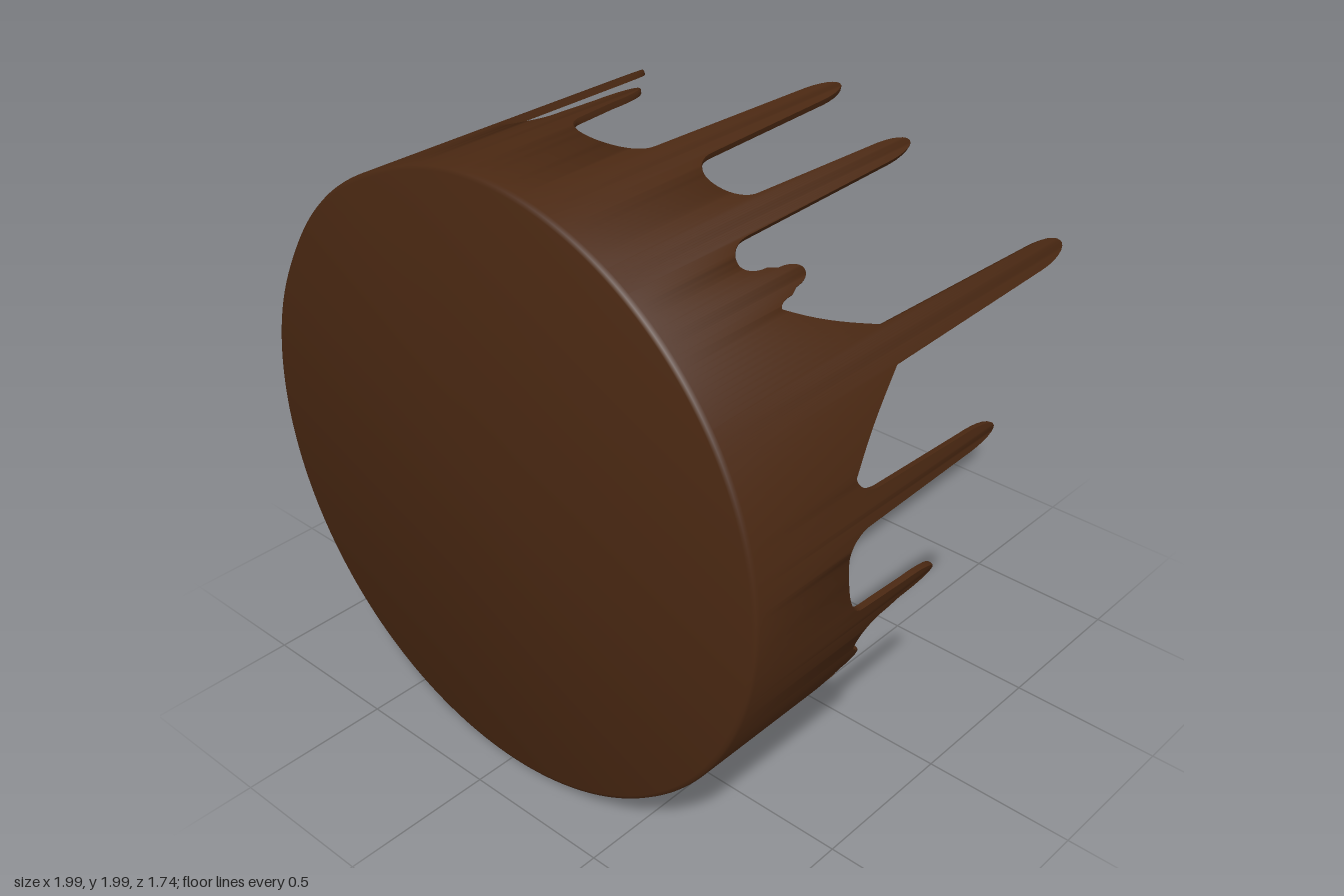
import * as THREE from 'three';
import { toCreasedNormals } from 'three/addons/utils/BufferGeometryUtils.js';

const FRONT = 0.87, THICK = 0.02, DEG = Math.PI / 180;

// Each drip: angle, tip z, half width, then the valley after it (angle, z),
// and optionally the z where its shaft flares into a long sloping shoulder.
const DRIPS = [
  [8.7, -0.21, 0.04, 15, 0.42],
  [31.2, -0.72, 0.05, 44, 0.45, 0.15],
  [48, 0.3, 0.04, 53, 0.49],
  [59.5, -0.38, 0.042, 68, 0.35],
  [76, -0.38, 0.045, 87, 0.47],
  [98.6, 0.08, 0.045, 109, 0.47],
  [115.4, -0.22, 0.04, 121, 0.44],
  [126.5, 0.18, 0.045, 131.5, 0.4],
  [137.4, 0, 0.045, 147, 0.47],
  [160, -0.63, 0.042, 168, 0.28, 0.2],
  [176.8, -0.45, 0.045, 190, 0.42],
  [204.8, -0.33, 0.048, 211, 0.23],
  [216, 0, 0.045, 224, 0.4],
  [233, -0.19, 0.048, 252, 0.47],
  [272.9, -0.87, 0.05, 288, 0.48],
  [294, 0.4, 0.03, 297, 0.46],
  [302, -0.21, 0.045, 310, 0.45],
  [318, 0.18, 0.04, 325, 0.36],
  [333, 0.28, 0.05, 339, 0.34],
  [346.6, 0.03, 0.04, 361.5, 0.48],
];

// One flank of a drip from its tip to the valley floor, as [angle offset, z]
function flank(tip, width, reach, valleyZ, shoulder) {
  const depth = valleyZ - tip, w = width / DEG;
  const base = shoulder ?? valleyZ - Math.min(0.1, depth * 0.4);
  const nose = Math.min(0.15, (base - tip) * 0.7);
  const pts = [];
  // Rounded nose
  for (let i = 1; i <= 7; i++) {
    const a = (i / 7) * Math.PI / 2;
    pts.push([0.85 * w * Math.sin(a), tip + nose * (1 - Math.cos(a))]);
  }
  // Slightly widening shaft
  pts.push([1.2 * w, base]);
  // Fillet, or straight slope with soft ends, down to the valley
  for (let i = 1; i <= 10; i++) {
    const t = i / 10, a = t * Math.PI / 2;
    const u = shoulder === undefined ? 1 - Math.cos(a) : t;
    const v = shoulder === undefined ? Math.sin(a) : t + 0.08 * Math.sin(Math.PI * t);
    pts.push([1.2 * w + (reach - 1.2 * w) * u, base + (valleyZ - base) * v]);
  }
  return pts;
}

// Whole dripping edge as [angle, z], ordered by angle
function dripEdge() {
  const edge = [];
  DRIPS.forEach(([angle, tip, width, nextA, nextZ, shoulder], i) => {
    const prev = DRIPS[(i + DRIPS.length - 1) % DRIPS.length];
    const prevA = i === 0 ? prev[3] - 360 : prev[3];
    const before = flank(tip, width, angle - prevA, prev[4], shoulder);
    before.reverse().forEach(([o, z]) => edge.push([angle - o, z]));
    edge.push([angle, tip]);
    const after = flank(tip, width, nextA - angle, nextZ, shoulder);
    after.slice(0, -1).forEach(([o, z]) => edge.push([angle + o, z]));
  });
  return edge;
}

// Nearly round outline, slightly flattened at the upper right-hand side
function radius(deg) {
  const dent = (at, spread) => Math.exp(-(((deg - at) / spread) ** 2));
  return 0.996 - 0.011 * dent(114, 14) - 0.006 * dent(150, 10);
}

// Thin shell: front face, rounded rim, outer wall, drip edge, inner wall, back face
function icingGeometry() {
  const edge = dripEdge(), pos = [], index = [];
  let rows = 0;
  for (const [deg, z] of edge) {
    const r = radius(deg), c = Math.cos(deg * DEG), s = Math.sin(deg * DEG);
    const section = [
      [0, FRONT], [r - 0.016, FRONT], [r - 0.005, FRONT - 0.005], [r, FRONT - 0.016],
      [r, z + 0.004], [r - 0.004, z], [r - THICK + 0.004, z], [r - THICK, z + 0.004],
      [r - THICK, FRONT - THICK], [0, FRONT - THICK],
    ];
    rows = section.length;
    section.forEach(([rad, pz]) => pos.push(rad * c, 1.003 + rad * s, pz));
  }
  for (let j = 0; j < edge.length; j++) {
    const k = (j + 1) % edge.length;
    for (let i = 0; i < rows - 1; i++) {
      const a = j * rows + i, d = k * rows + i;
      if (i < rows - 2) index.push(a, a + 1, d + 1);
      if (i > 0) index.push(a, d + 1, d);
    }
  }
  const geo = new THREE.BufferGeometry();
  geo.setAttribute('position', new THREE.Float32BufferAttribute(pos, 3));
  geo.setIndex(index);
  return toCreasedNormals(geo, 0.9);
}

export function createModel() {
  const group = new THREE.Group();
  group.name = 'drippingIcing';
  const material = new THREE.MeshStandardMaterial({ color: 0x4a2812, side: THREE.DoubleSide });
  const icing = new THREE.Mesh(icingGeometry(), material);
  icing.name = 'icingShell';
  group.add(icing);
  return group;
}
